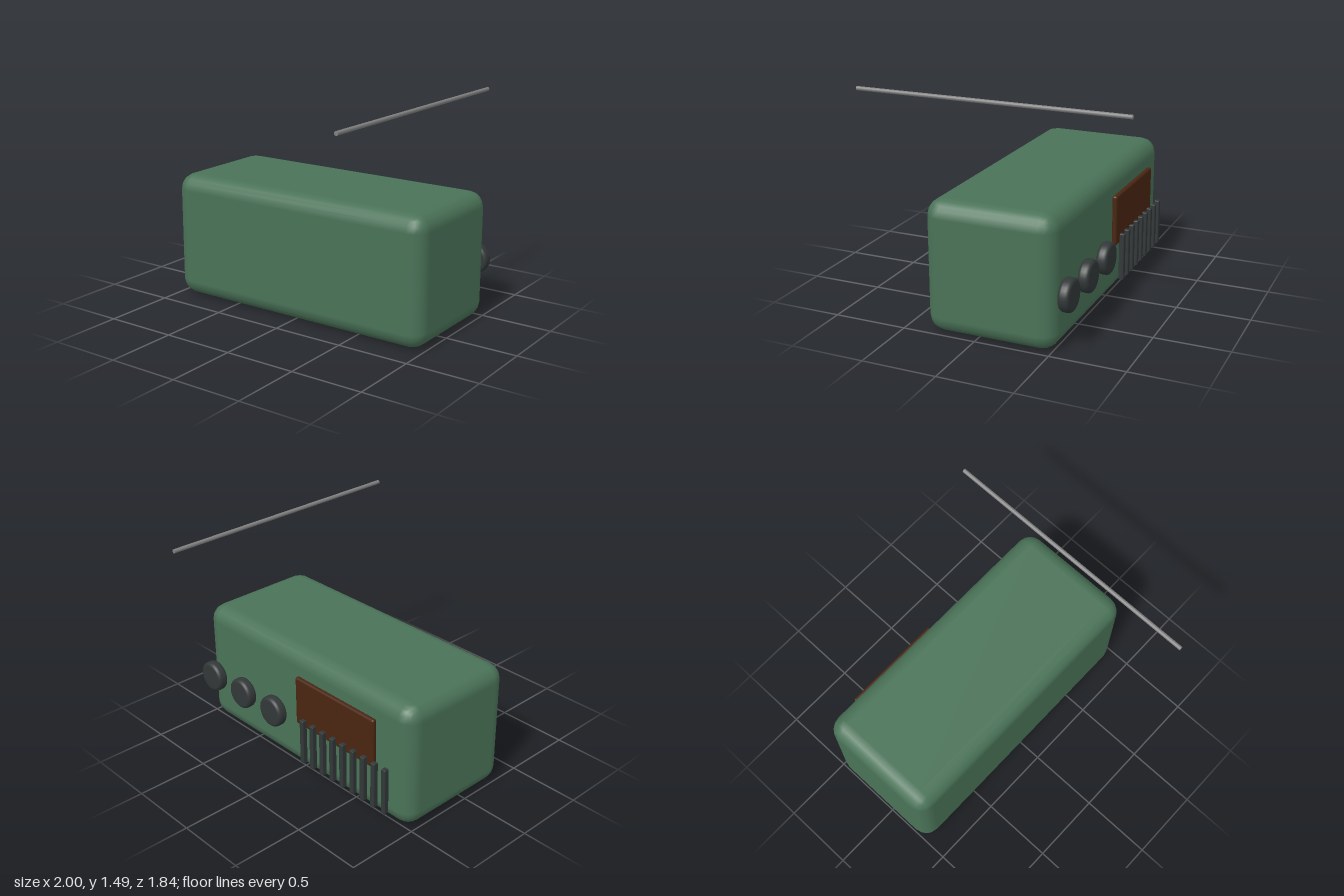
import * as THREE from 'three';
import { RoundedBoxGeometry } from 'three/addons/geometries/RoundedBoxGeometry.js';

const paint = (color) => new THREE.MeshStandardMaterial({ color });

export function createModel() {
  const model = new THREE.Group();
  const green = paint(0x4a7358);
  const brown = paint(0x4a2612);
  const dark = paint(0x323737);
  const metal = paint(0x808080);

  const add = (name, geometry, material, x, y, z) => {
    const mesh = new THREE.Mesh(geometry, material);
    mesh.name = name;
    mesh.position.set(x, y, z);
    model.add(mesh);
    return mesh;
  };

  // Rounded cabinet
  add('cabinet', new RoundedBoxGeometry(2, 0.88, 0.88, 2, 0.11), green, 0, 0.44, -0.09);

  // Dial panel floating just off the back face
  add('dialPanel', new RoundedBoxGeometry(0.73, 0.35, 0.035, 2, 0.014), brown, -0.355, 0.545, -0.552);

  // Row of upright speaker slats
  const slat = new RoundedBoxGeometry(0.036, 0.33, 0.036, 2, 0.006);
  for (let i = 0; i < 9; i++) {
    add('speakerSlat', slat, dark, -0.842 + i * 0.0955, 0.27, -0.583);
  }

  // Three control knobs with rounded rims, turned about the z axis
  const r = 0.109, h = 0.0385, bevel = 0.025;
  const profile = [new THREE.Vector2(0, -h)];
  for (const side of [-1, 1]) {
    for (let i = 0; i <= 4; i++) {
      const a = side < 0 ? -Math.PI / 2 + (i * Math.PI) / 8 : (i * Math.PI) / 8;
      profile.push(new THREE.Vector2(
        r - bevel + bevel * Math.cos(a),
        side * (h - bevel) + bevel * Math.sin(a)
      ));
    }
  }
  profile.push(new THREE.Vector2(0, h));
  const knob = new THREE.LatheGeometry(profile, 32);
  knob.rotateX(Math.PI / 2);
  for (const x of [0.23, 0.555, 0.88]) add('knob', knob, dark, x, 0.37, -0.583);

  // Antenna rod lying along z above the cabinet
  const antenna = add('antenna', new THREE.CylinderGeometry(0.014, 0.014, 1.835, 12), metal, 0.76, 1.475, 0);
  antenna.rotation.x = Math.PI / 2;

  return model;
}
